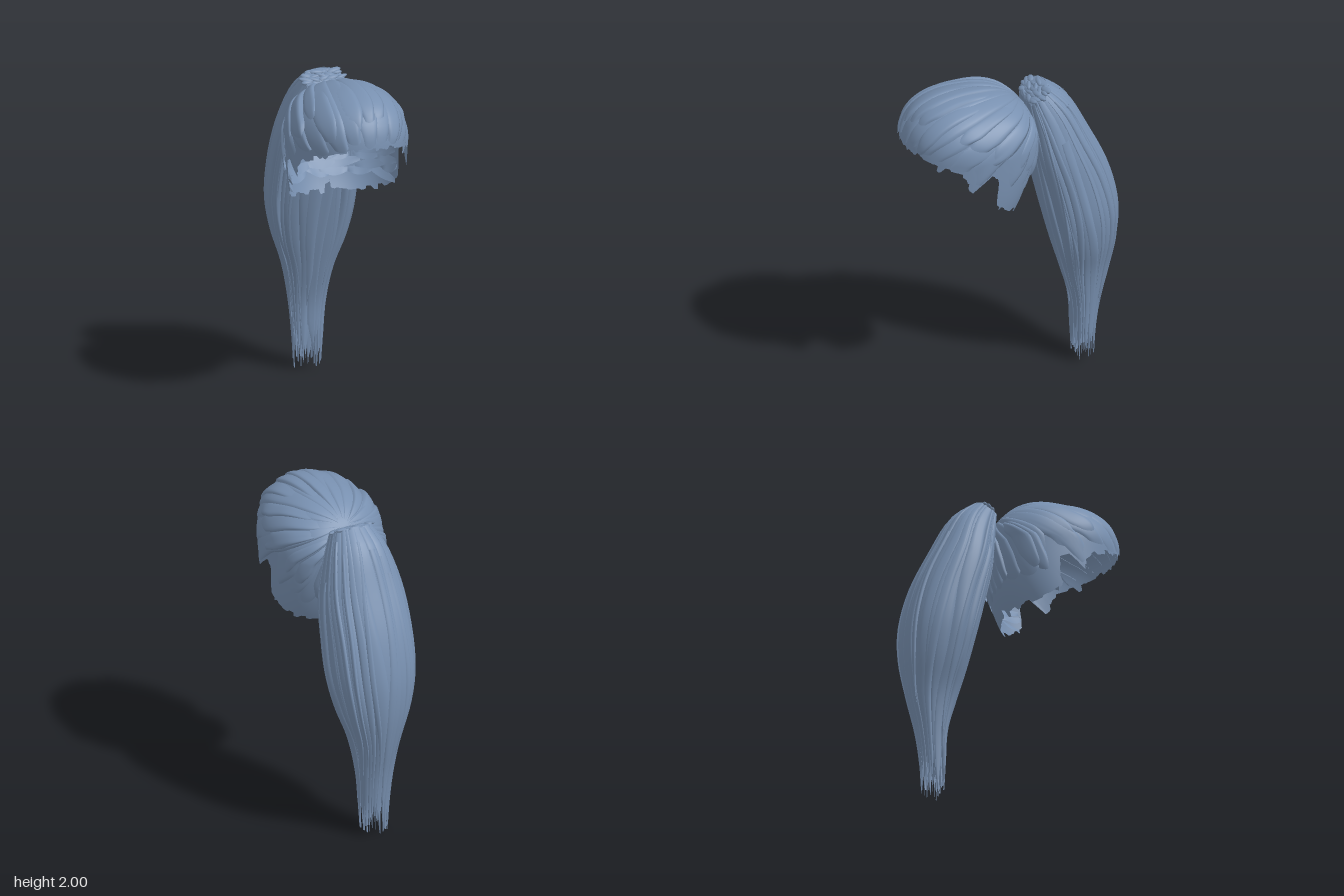
import * as THREE from 'three';
import { mergeGeometries } from 'three/addons/utils/BufferGeometryUtils.js';

const { lerp, clamp, degToRad, smoothstep } = THREE.MathUtils;

// Seeded random numbers
let seed = 7;
const rand = (a = 0, b = 1) => {
  seed = (seed * 16807) % 2147483647;
  return a + (b - a) * (seed / 2147483647);
};

// Grid surface from f(u along, v across)
function patch(f, nu, nv) {
  const pos = [], idx = [];
  for (let i = 0; i <= nu; i++) for (let j = 0; j <= nv; j++) pos.push(...f(i / nu, j / nv).toArray());
  for (let i = 0; i < nu; i++) for (let j = 0; j < nv; j++) {
    const a = i * (nv + 1) + j, b = a + nv + 1;
    idx.push(a, b, a + 1, b, b + 1, a + 1);
  }
  const g = new THREE.BufferGeometry();
  g.setAttribute('position', new THREE.Float32BufferAttribute(pos, 3));
  g.setIndex(idx);
  g.computeVertexNormals();
  return g;
}

// Head surface: unit direction -> point, squarer crown and back, straight-sided nape
const CENTRE = new THREE.Vector3(0, 1.66, 0.27);
const squarer = (a, b, p) => Math.hypot(a, b) / (Math.abs(a) ** p + Math.abs(b) ** p + 1e-9) ** (1 / p);
function headPoint(d, off) {
  const crown = d.y > 0 ? squarer(d.y, d.z, 2.45) : 1;
  const back = d.z < 0 ? squarer(d.x, d.z, 2.3) : 1;
  const low = d.y < 0 ? d.y * d.y : 0;
  return new THREE.Vector3(d.x * back * 0.352 * (1 + 0.4 * low), d.y * crown * (d.y > 0 ? 0.322 : 0.68),
    d.z * crown * back * 0.4 * (1 - 0.22 * low)).multiplyScalar(1 + off).add(CENTRE);
}

// Polar coordinates around the gathering point at the back of the crown
const POLE = new THREE.Vector3(0, 0.59, -0.807);
const FORWARD = new THREE.Vector3(0, 0.807, 0.59);
function polar(phi, theta) {
  const p = degToRad(phi), t = degToRad(theta);
  return new THREE.Vector3(Math.sin(p) * Math.sin(t), 0, 0)
    .addScaledVector(POLE, Math.cos(t))
    .addScaledVector(FORWARD, Math.cos(p) * Math.sin(t));
}

// Hairline: angle around the pole -> distance from it, with sideburn and ear notch
const HEM = [[0, 137], [40, 131], [63, 125], [80, 111], [89, 107], [91, 112], [95, 110], [98, 93], [104, 88],
  [112, 95], [117, 98], [133, 90], [151, 80], [180, 72]];
function hem(phi) {
  const a = Math.abs(((phi + 540) % 360) - 180);
  const k = clamp(HEM.findIndex((h) => h[0] >= a), 1, HEM.length - 1);
  const [p, q] = [HEM[k - 1], HEM[k]];
  return lerp(p[1], q[1], clamp((a - p[0]) / (q[0] - p[0]), 0, 1));
}

// Bulging lock combed over the head, rounded sides, blunt tapered end
function headLock(phi0, half, start, len, lift, swirl) {
  return patch((u, v) => {
    const s = v * 2 - 1, t = lerp(start, len, u);
    const w = half * (1 - 0.35 * smoothstep(u, 0.75, 1)) * smoothstep(u, -0.25, 0.2);
    const phi = phi0 + s * w + swirl * Math.sin(t * Math.PI);
    const end = t * hem(phi) - 4 * s * s * u ** 6;
    const bulge = (1 - s ** 6) * (1 + 0.45 * s) * smoothstep(u, -0.1, 0.5) * (1 - 0.5 * u ** 12);
    return headPoint(polar(phi, end), lift * bulge - 0.004);
  }, 22, 10);
}

// Ponytail sections: half width, front y, front z, back y, back z
const SECTIONS = [
  [0.125, 1.86, -0.10, 1.94, -0.24], [0.19, 1.68, -0.12, 1.84, -0.36], [0.245, 1.48, -0.145, 1.62, -0.48],
  [0.262, 1.26, -0.19, 1.36, -0.60], [0.257, 1.04, -0.24, 1.10, -0.665], [0.215, 0.84, -0.29, 0.88, -0.67],
  [0.145, 0.64, -0.345, 0.65, -0.635], [0.108, 0.42, -0.40, 0.42, -0.58], [0.09, 0.20, -0.41, 0.20, -0.55],
  [0.078, 0, -0.42, 0, -0.54]];
const frontCurve = new THREE.CatmullRomCurve3(SECTIONS.map((s) => new THREE.Vector3(s[0], s[1], s[2])));
const backCurve = new THREE.CatmullRomCurve3(SECTIONS.map((s) => new THREE.Vector3(s[0], s[3], s[4])));
function tailPoint(t, a, scale) {
  const f = frontCurve.getPoint(t), b = backCurve.getPoint(t);
  const power = Math.cos(a) > 0 ? 0.72 : 0.82;
  const soft = (x) => Math.sign(x) * Math.abs(x) ** power;
  const cz = soft(Math.cos(a)) * scale;
  return new THREE.Vector3(f.x * soft(Math.sin(a)) * scale * (1 + 0.08 * cz),
    lerp(b.y, f.y, (cz + 1) / 2), lerp(b.z, f.z, (cz + 1) / 2));
}

// Strand running down the ponytail to a pointed tip
function tailStrand(a0, half, start, end, scale, lift) {
  const wave = rand(-0.1, 0.1), phase = rand(0, 6), lean = rand(-0.5, 0.5);
  return patch((u, v) => {
    const s = v * 2 - 1, t = lerp(start, end, u);
    const w = half * (1 - 0.97 * smoothstep(t, end - 0.13, end));
    const a = a0 + s * w + wave * Math.sin(t * 8 + phase);
    return tailPoint(t, a, scale * (1 + lift * (1 - s ** 4) * (1 + lean * s)));
  }, 32, 8);
}

export function createModel() {
  seed = 7;
  const group = new THREE.Group();
  const hair = new THREE.MeshStandardMaterial({ color: 0x7890b0, side: THREE.DoubleSide });
  hair.name = 'slate blue hair';
  const add = (name, parts) => {
    const mesh = new THREE.Mesh(mergeGeometries(parts), hair);
    mesh.name = name;
    group.add(mesh);
  };

  // Thin cap with a ragged hairline
  const jags = Array.from({ length: 72 }, () => rand(-3, 2));
  add('cap', [patch((u, v) => {
    const phi = v * 360 - 180;
    const jag = jags[Math.floor(v * 71.99)] * u ** 8;
    return headPoint(polar(phi, u * hem(phi) + jag), 0);
  }, 26, 216)]);

  // Broad combed locks, then shorter irregular ones that end in steps down the sides
  const under = [], over = [];
  for (let i = 0; i < 20; i++) {
    const phi = i * 18 + rand(-3, 3);
    const back = smoothstep(-Math.cos(degToRad(phi)), -0.1, 0.4);
    under.push(headLock(phi, rand(11, 14), 0.03, rand(0.94, 1) - 0.14 * back, rand(0.02, 0.045), 0));
  }
  for (let i = 0; i < 19; i++) {
    const phi = i * 19 + rand(-6, 6);
    const back = smoothstep(-Math.cos(degToRad(phi)), -0.1, 0.4);
    over.push(headLock(phi, rand(8, 13), rand(0.05, 0.3), rand(0.68, 0.97) - 0.1 * back, rand(0.04, 0.07) + 0.02 * back,
      Math.sin(degToRad(phi)) * rand(-12, -4)));
  }
  add('underLocks', under);
  add('overLocks', over);

  // Overlapping plates lining the inside of the back
  const lining = [];
  for (let row = 0; row < 9; row++) {
    for (let k = 0; k < 6; k++) {
      const az0 = -1.15 + k * 0.46 + rand(-0.2, 0.2), tilt = rand(-0.03, 0.03), half = rand(0.22, 0.38);
      lining.push(patch((u, v) => {
        const s = v * 2 - 1, az = clamp(az0 + s * half, -1.35, 1.35);
        const y = 1.74 - row * 0.046 - u * 0.065 * (1 - 0.6 * s * s) + tilt * s - CENTRE.y;
        const ny = y / (y > 0 ? 0.322 : 0.68), r = Math.sqrt(1 - ny * ny);
        const d = new THREE.Vector3(Math.sin(az) * r, ny, -Math.cos(az) * r);
        return headPoint(d, -0.01 - 0.05 * u * (1 - s ** 4));
      }, 4, 8));
    }
  }
  add('innerLining', lining);

  // Ponytail core, closed at both ends
  add('ponytailCore', [patch((u, v) => {
    const scale = 0.94 * Math.min(1, u * 40, (1 - u) * 12);
    return tailPoint(Math.max(0, u - 0.025) * 0.95, v * Math.PI * 2, scale);
  }, 40, 48)]);

  // Broad strands of uneven width, then finer raised ones
  const strands = [], fine = [];
  for (let i = 0; i < 26; i++) {
    strands.push(tailStrand((i / 26) * Math.PI * 2 + rand(-0.06, 0.06), rand(0.14, 0.26), rand(0, 0.012),
      rand(0.93, 1), rand(0.92, 0.95), rand(0.05, 0.1)));
  }
  for (let i = 0; i < 18; i++) {
    fine.push(tailStrand((i / 18) * Math.PI * 2 + rand(-0.15, 0.15), rand(0.06, 0.14), rand(0, 0.2),
      rand(0.7, 0.98), 0.96, rand(0.05, 0.09)));
  }
  add('ponytailStrands', strands);
  add('fineStrands', fine);

  // Pointed wisps inside the tip
  const wisps = [];
  for (let i = 0; i < 22; i++) {
    wisps.push(tailStrand(i * 2.4, 0.3, 0.8, rand(0.93, 1), rand(0.3, 0.85), 0.15));
  }
  add('tipWisps', wisps);

  // Small folded ends on top of the gathering
  const folds = [];
  for (let r = 0; r < 5; r++) for (let k = 0; k < 5; k++) {
    const f = (r + 0.5) / 5;
    const lump = new THREE.SphereGeometry(1, 10, 6);
    lump.scale(rand(0.03, 0.05), 0.012, rand(0.012, 0.022));
    lump.rotateY(rand(-0.5, 0.5));
    lump.rotateX(0.5);
    lump.translate((k - 2) * 0.054 * (0.6 + 0.4 * Math.sin(f * Math.PI)) + rand(-0.012, 0.012),
      lerp(1.865, 1.93, f) + rand(-0.008, 0.002), lerp(-0.11, -0.225, f) + rand(-0.008, 0.008));
    folds.push(lump);
  }
  add('gatheredEnds', folds);

  return group;
}
